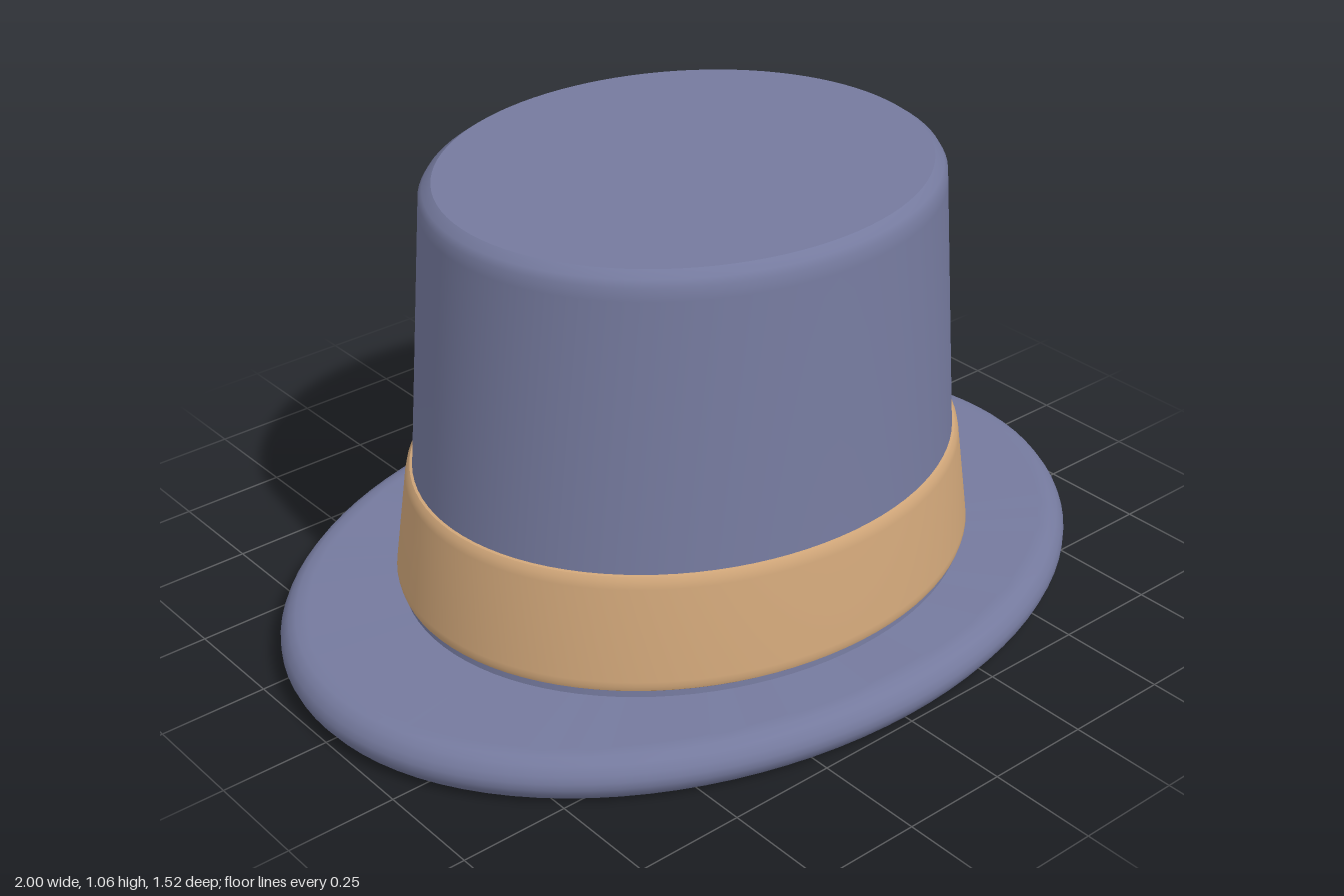
import * as THREE from 'three';
import { toCreasedNormals } from 'three/addons/utils/BufferGeometryUtils.js';

const SEGMENTS = 96;

// Stack of elliptical rings, each [x radius, z radius, y], listed from bottom to top along the outside.
function ellipseLoft(rings, crease = 0.55) {
  const positions = [];
  const index = [];
  for (const [rx, rz, y] of rings) {
    for (let j = 0; j < SEGMENTS; j++) {
      const a = (j / SEGMENTS) * Math.PI * 2;
      positions.push(rx * Math.cos(a), y, rz * Math.sin(a));
    }
  }
  for (let i = 0; i < rings.length - 1; i++) {
    for (let j = 0; j < SEGMENTS; j++) {
      const k = (j + 1) % SEGMENTS;
      const a = i * SEGMENTS + j, b = i * SEGMENTS + k;
      const c = a + SEGMENTS, d = b + SEGMENTS;
      if (rings[i][0] > 0) index.push(a, c, b);
      if (rings[i + 1][0] > 0) index.push(b, c, d);
    }
  }
  const geometry = new THREE.BufferGeometry();
  geometry.setAttribute('position', new THREE.Float32BufferAttribute(positions, 3));
  geometry.setIndex(index);
  return toCreasedNormals(geometry, crease);
}

// Closed rounded-rectangle path in the xy plane.
function roundedRectPath(halfW, halfH, r) {
  const points = [];
  const corners = [[1, 1], [-1, 1], [-1, -1], [1, -1]];
  corners.forEach(([sx, sy], q) => {
    for (let i = 0; i <= 4; i++) {
      const a = (q + i / 4) * Math.PI / 2;
      points.push(new THREE.Vector3(
        sx * (halfW - r) + r * Math.cos(a),
        sy * (halfH - r) + r * Math.sin(a), 0));
    }
  });
  return new THREE.CatmullRomCurve3(points, true, 'centripetal');
}

export function createModel() {
  const felt = new THREE.MeshStandardMaterial({ color: 0x757a9e });
  felt.name = 'blue felt';
  const leather = new THREE.MeshStandardMaterial({ color: 0xd0a679 });
  leather.name = 'tan band';
  const brass = new THREE.MeshStandardMaterial({ color: 0xd6c699 });
  brass.name = 'pale brass';

  const hat = new THREE.Group();
  hat.name = 'hat';
  const add = (name, geometry, material) => {
    const mesh = new THREE.Mesh(geometry, material);
    mesh.name = name;
    hat.add(mesh);
    return mesh;
  };

  // Oval brim: flat faces and a softly bevelled edge, given as [inset, y]
  const brimProfile = [
    [0.064, 0], [0.058, 0], [0.036, 0.003], [0.019, 0.012], [0.006, 0.03], [0, 0.045],
    [0, 0.061], [0.006, 0.076], [0.019, 0.094], [0.036, 0.103], [0.058, 0.106], [0.064, 0.106],
  ];
  add('brim', ellipseLoft([
    [0, 0, 0],
    ...brimProfile.map(([inset, y]) => [1 - inset, 0.76 - inset, y]),
    [0, 0, 0.106],
  ]), felt);

  // Tapered crown with a bevelled top edge and a flat top
  add('crown', ellipseLoft([
    [0.692, 0.585, 0.09], [0.688, 0.582, 0.125], [0.649, 0.554, 0.395], [0.6, 0.525, 1.0],
    [0.598, 0.523, 1.029], [0.589, 0.514, 1.044], [0.569, 0.495, 1.058],
    [0.564, 0.49, 1.058], [0, 0, 1.058],
  ]), felt);

  // Band around the crown, with a chamfered lower lip
  add('band', ellipseLoft([
    [0.66, 0.56, 0.122], [0.69, 0.585, 0.122], [0.697, 0.591, 0.127], [0.7, 0.594, 0.138],
    [0.6985, 0.5928, 0.149], [0.668, 0.569, 0.363], [0.664, 0.566, 0.38],
    [0.656, 0.56, 0.389], [0.646, 0.551, 0.391], [0.635, 0.54, 0.391],
  ]), leather);

  // Buckle standing on the back of the band
  const buckle = add('buckle',
    new THREE.TubeGeometry(roundedRectPath(0.096, 0.081, 0.04), 96, 0.0195, 12, true), brass);
  buckle.position.set(0, 0.251, -0.6);

  return hat;
}
